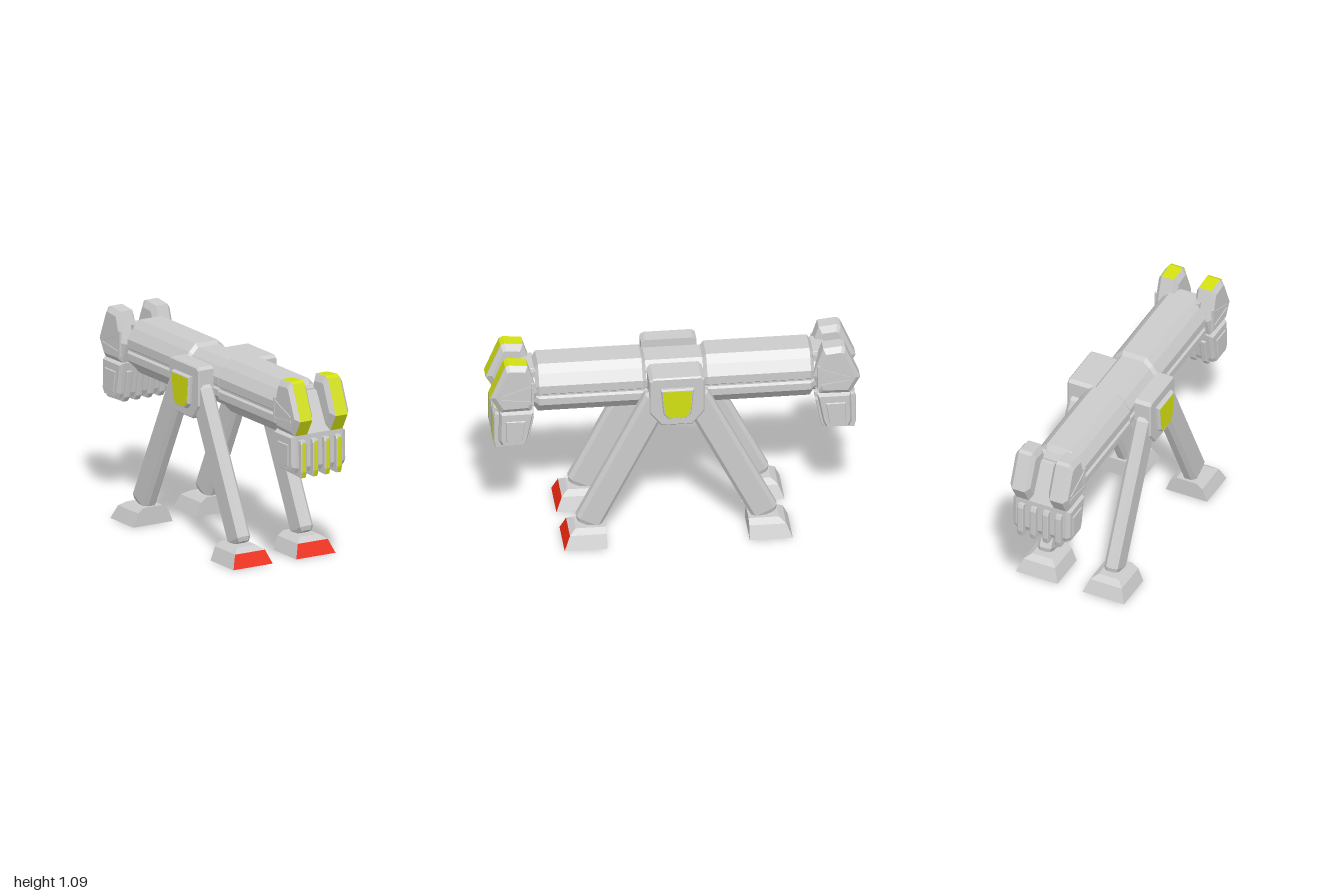
import * as THREE from 'three';

const GREY = 0xcccccc, YELLOW = 0xd2e010, RED = 0xf22a10;

function material(color, double) {
  const m = new THREE.MeshStandardMaterial({ color, flatShading: true });
  if (double) m.side = THREE.DoubleSide;
  return m;
}

// Skin over closed rings of [x, y, z] points; keep(band, side) drops faces to leave openings
function loft(name, rings, { color = GREY, keep = () => true, startCap = true, endCap = true, open = false } = {}) {
  const tris = [], n = rings[0].length;
  const vec = rings.map(r => r.map(p => new THREE.Vector3(...p)));
  const centre = r => r.reduce((s, p) => s.add(p), new THREE.Vector3()).divideScalar(n);
  const mids = vec.map(centre);
  const last = vec.length - 1;
  for (let j = 0; j < n; j++) {
    const k = (j + 1) % n;
    for (let i = 0; i < last; i++) {
      const a = vec[i][j], b = vec[i][k], c = vec[i + 1][k], d = vec[i + 1][j];
      tris.push([a, b, c, keep(i, j)], [a, c, d, keep(i, j)]);
    }
    tris.push([mids[0], vec[0][k], vec[0][j], startCap], [mids[last], vec[last][j], vec[last][k], endCap]);
  }
  // The signed volume tells which way the faces wind
  const volume = tris.reduce((s, [a, b, c]) => s + a.dot(b.clone().cross(c)), 0);
  const pos = [];
  for (const [a, b, c, on] of tris) {
    if (on) for (const p of volume > 0 ? [a, b, c] : [a, c, b]) pos.push(p.x, p.y, p.z);
  }
  const g = new THREE.BufferGeometry();
  g.setAttribute('position', new THREE.Float32BufferAttribute(pos, 3));
  g.computeVertexNormals();
  const mesh = new THREE.Mesh(g, material(color, open));
  mesh.name = name;
  return mesh;
}

// Side profile of [z, y] points swept across x; each station is [x, scale]
function sideLoft(name, profile, stations, color) {
  const zs = profile.map(p => p[0]), ys = profile.map(p => p[1]);
  const cz = (Math.min(...zs) + Math.max(...zs)) / 2, cy = (Math.min(...ys) + Math.max(...ys)) / 2;
  return loft(name, stations.map(([x, s]) =>
    profile.map(([z, y]) => [x, cy + (y - cy) * s, cz + (z - cz) * s])), { color });
}

// Thin coloured ribbon following [z, y] points between two x positions
function ribbon(name, path, x0, x1, color) {
  const pos = [];
  for (let i = 0; i < path.length - 1; i++) {
    const [z0, y0] = path[i], [z1, y1] = path[i + 1];
    pos.push(x0, y0, z0, x1, y1, z1, x1, y0, z0, x0, y0, z0, x0, y1, z1, x1, y1, z1);
  }
  const g = new THREE.BufferGeometry();
  g.setAttribute('position', new THREE.Float32BufferAttribute(pos, 3));
  g.computeVertexNormals();
  const mesh = new THREE.Mesh(g, material(color, true));
  mesh.name = name;
  return mesh;
}

// Grooved cross-section of the beam
const HALF = [[0.07, 1.04], [0.11, 1.0], [0.148, 0.943], [0.148, 0.895], [0.135, 0.885],
  [0.135, 0.875], [0.148, 0.865], [0.148, 0.825], [0.11, 0.79], [0.07, 0.745]];
const SECTION = [...HALF, ...HALF.slice().reverse().map(([x, y]) => [-x, y])];
const beamRing = (z, s) => SECTION.map(([x, y]) => [x * (0.4 + 0.6 * s), 0.89 + (y - 0.89) * s, z]);

function createBeam() {
  const beam = new THREE.Group();
  beam.name = 'beam';
  beam.add(loft('beamCore', [-0.82, -0.755, -0.735, -0.175, -0.15, 0.15, 0.175, 0.735, 0.755, 0.82]
    .map((z, i) => beamRing(z, [2, 3, 6, 7].includes(i) ? 1 : 0.8))));
  // Slightly lower collar between the hubs
  beam.add(loft('collar', [-0.155, 0.155].map(z => beamRing(z, 0.87))));
  return beam;
}

function createHead(front) {
  const head = new THREE.Group();
  head.name = front ? 'frontHead' : 'backHead';

  // Palm wedge between the prongs and the lower block
  head.add(sideLoft('palm', [[0.75, 1.01], [0.84, 1.0], [0.95, 0.79], [0.78, 0.78], [0.75, 0.82]],
    [[-0.1, 1], [0.1, 1]]));
  head.add(sideLoft('lowerBlock', [[0.765, 0.8], [0.95, 0.8], [0.955, 0.62], [0.94, 0.59], [0.815, 0.59], [0.8, 0.62]],
    [[-0.172, 0.88], [-0.15, 1], [0.15, 1], [0.172, 0.88]]));

  const prong = [[1.0, 0.89], [0.92, 1.08], [0.9, 1.09], [0.8, 1.08], [0.745, 0.91], [0.78, 0.8], [0.945, 0.795]];
  const stripe = [[0.8, 1.082], [0.901, 1.092], [0.922, 1.082], [1.002, 0.89], [0.947, 0.794]];
  for (const s of [-1, 1]) {
    head.add(sideLoft('prong', prong, [[s * 0.055, 0.75], [s * 0.075, 1], [s * 0.15, 1], [s * 0.172, 0.8]]));
    if (front) head.add(ribbon('prongStripe', stripe, s * 0.075, s * 0.15, YELLOW));

    // Raised struts on the outer cheek
    for (const [z0, y0, z1, y1] of [[0.94, 0.9, 0.78, 0.96], [0.94, 0.88, 0.78, 0.86], [0.775, 0.84, 0.775, 0.98]]) {
      const bar = new THREE.Mesh(new THREE.BoxGeometry(0.014, 0.014, Math.hypot(z1 - z0, y1 - y0)), material(GREY));
      bar.position.set(s * 0.17, (y0 + y1) / 2, (z0 + z1) / 2);
      bar.rotation.x = -Math.atan2(y1 - y0, z1 - z0);
      bar.name = 'cheekStrut';
      head.add(bar);
    }
    head.add(sideLoft('lowerSidePanel', [[0.81, 0.75], [0.92, 0.75], [0.92, 0.62], [0.83, 0.62]],
      [[s * 0.168, 1], [s * 0.178, 0.9]]));
  }

  // Four ribs wrapping around the lower block
  const rib = [[0.94, 0.775], [0.972, 0.775], [0.98, 0.755], [0.98, 0.6], [0.97, 0.565],
    [0.81, 0.572], [0.79, 0.6], [0.76, 0.75]];
  for (let i = 0; i < 4; i++) {
    const x = -0.1125 + i * 0.075;
    head.add(sideLoft('rib', rib, [[x - 0.018, 0.97], [x - 0.012, 1], [x + 0.012, 1], [x + 0.018, 0.97]]));
    if (front) head.add(ribbon('ribStripe', [[0.982, 0.765], [0.982, 0.6], [0.972, 0.566]], x - 0.011, x + 0.011, YELLOW));
  }
  head.position.x = 0.007;
  if (!front) head.rotation.y = Math.PI;
  return head;
}

function createHub(s) {
  const hub = new THREE.Group();
  hub.name = s > 0 ? 'leftHub' : 'rightHub';
  const body = [[-0.15, 0.99], [-0.13, 1.005], [0.13, 1.005], [0.15, 0.99], [0.15, 0.79], [0.085, 0.71], [-0.085, 0.71], [-0.15, 0.79]];
  hub.add(sideLoft('hubBody', body, [[s > 0 ? 0.08 : -0.155, 1], [s * 0.242, 1], [s * 0.25, 0.95]]));
  // Bevelled badge plate with a coloured face
  const plate = [[-0.09, 0.945], [0.09, 0.945], [0.075, 0.79], [0.045, 0.76], [-0.045, 0.76], [-0.075, 0.79]];
  hub.add(sideLoft('plateRim', plate, [[s * 0.24, 1], [s * 0.264, 1], [s * 0.274, 0.93]]));
  hub.add(sideLoft('plateFace', plate, [[s * 0.27, 0.89], [s * 0.2755, 0.89]], YELLOW));
  return hub;
}

function createLeg(sx, sz) {
  const leg = new THREE.Group();
  leg.name = (sz > 0 ? 'front' : 'back') + (sx > 0 ? 'Left' : 'Right') + 'Leg';

  // Slanted strut with chamfered corners
  const corners = [[0.02, 0.075], [0.04, 0.055], [0.04, -0.055], [0.02, -0.075],
    [-0.02, -0.075], [-0.04, -0.055], [-0.04, 0.055], [-0.02, 0.075]];
  const ring = (z, y, k) => corners.map(([u, v]) =>
    [sx * (0.2 + u * k), y + 0.447 * v * k, sz * (z + 0.894 * v * k)]);
  leg.add(loft('strut', [ring(0.485, 0.1, 0.8), ring(0.475, 0.12, 1), ring(0.105, 0.86, 1), ring(0.095, 0.88, 0.85)]));

  // Hollow splayed foot, open below
  const rect = (y, hx, z1) => [[0.2 - hx, 0.385], [0.2 + hx, 0.385], [0.2 + hx, z1], [0.2 - hx, z1]]
    .map(([x, z]) => [sx * x, y, sz * z]);
  const rings = [rect(0, 0.125, 0.617), rect(0.075, 0.095, 0.585), rect(0.1, 0.06, 0.55)];
  const isToe = (i, j) => i === 0 && j === 2;
  leg.add(loft('foot', rings, { keep: (i, j) => !isToe(i, j), startCap: false, open: true }));
  leg.add(loft('toePanel', rings, { keep: isToe, startCap: false, endCap: false, open: true, color: sz > 0 ? RED : GREY }));
  return leg;
}

export function createModel() {
  const model = new THREE.Group();
  model.name = 'walkerFrame';
  const beam = createBeam();
  beam.position.x = 0.007;
  model.add(beam, createHead(true), createHead(false));
  for (const sx of [-1, 1]) {
    model.add(createHub(sx));
    for (const sz of [-1, 1]) model.add(createLeg(sx, sz));
  }
  return model;
}
